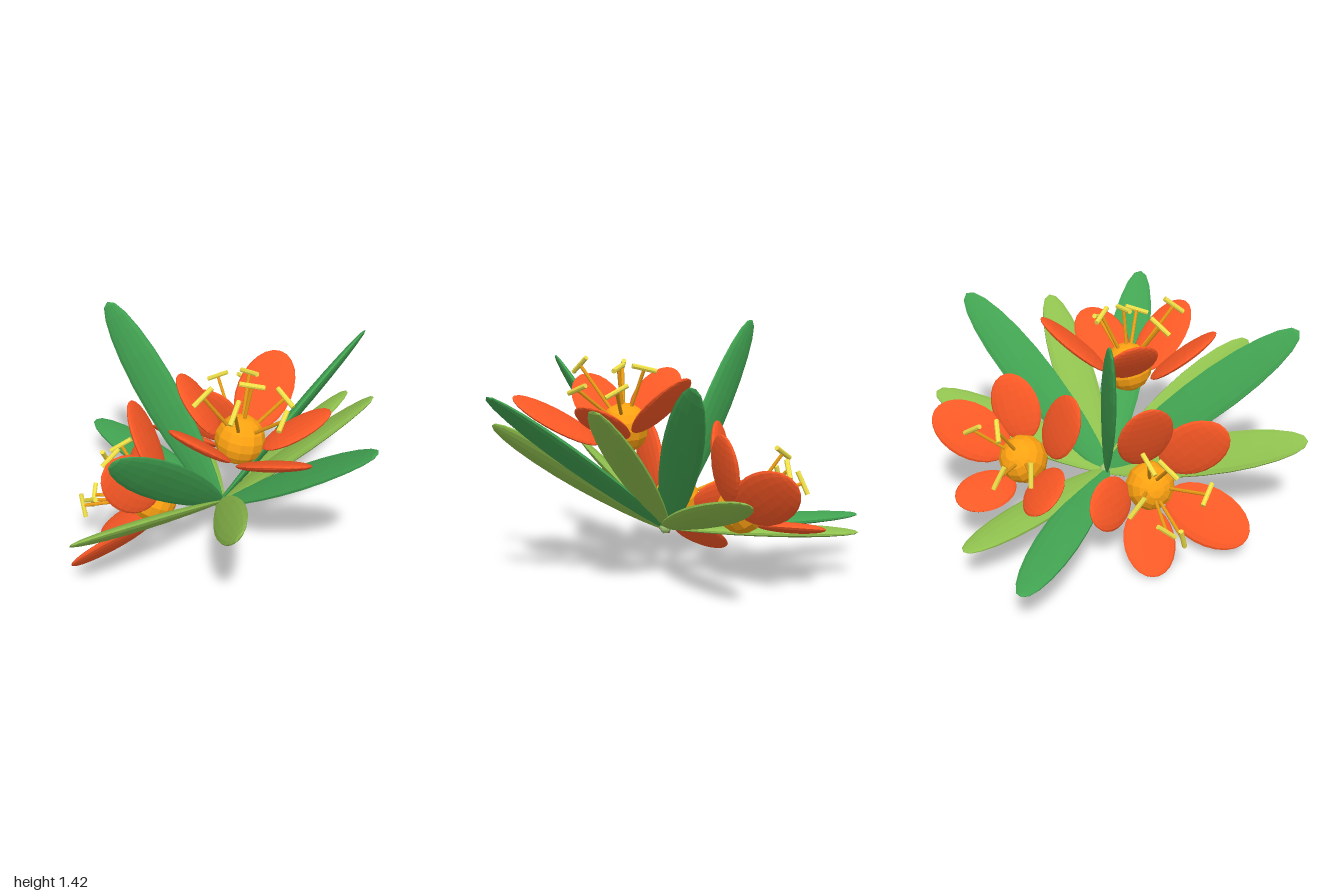
import * as THREE from 'three';

const V = (a) => new THREE.Vector3(...a);
const UP = new THREE.Vector3(0, 1, 0);
const HUB = new THREE.Vector3(0.03, 0.285, -0.04);
const mat = (color) => new THREE.MeshStandardMaterial({ color, flatShading: true });
const MAT = {
  dark: mat(0x42a452), light: mat(0x8fc04e), petal: mat(0xff5a26), heart: mat(0xffa312),
  filament: mat(0xe89a14), anther: mat(0xf0e048), stem: mat(0xa4c878),
};

function add(parent, name, geometry, material) {
  const m = new THREE.Mesh(geometry, material);
  m.name = name;
  parent.add(m);
  return m;
}

// Points local y along dir, with local z as close to facing as possible
function orient(mesh, pos, dir, facing) {
  const y = dir.clone().normalize();
  const z = facing.clone().addScaledVector(y, -facing.dot(y)).normalize();
  const x = new THREE.Vector3().crossVectors(y, z);
  mesh.quaternion.setFromRotationMatrix(new THREE.Matrix4().makeBasis(x, y, z));
  mesh.position.copy(pos);
}

// Straight round rod between two points
function rod(parent, name, a, b, r, material) {
  const d = b.clone().sub(a);
  const m = add(parent, name, new THREE.CylinderGeometry(r, r, d.length(), 8), material);
  m.position.copy(a).addScaledVector(d, 0.5);
  m.quaternion.setFromUnitVectors(UP, d.normalize());
}

// Leaf: a flattened spindle, widest beyond the middle, rolled about its own length
function leaf(parent, tip, roll, material) {
  const d = V(tip).sub(HUB);
  const start = HUB.clone().addScaledVector(d, -0.03);
  const len = d.length() * 1.03;
  const profile = [];
  for (let i = 0; i <= 12; i++) {
    const t = (1 - Math.cos((Math.PI * i) / 12)) / 2;
    const w = Math.max(0, Math.sin(Math.PI * t ** 1.25)) ** 0.45;
    profile.push(new THREE.Vector2(w, t));
  }
  const g = new THREE.LatheGeometry(profile, 14);
  g.scale(0.072 + 0.042 * len, len, 0.03);
  const m = add(parent, 'leaf', g, material);
  orient(m, start, d, UP);
  m.rotateY(roll);
}

// Leaf tip, roll, tone
const LEAVES = [
  [[-0.55, 0.27, -0.96], 0, 'light'],
  [[-0.99, 0.27, -0.73], 0, 'dark'],
  [[-0.66, 1.43, -0.18], -1.4, 'dark'],
  [[0.6, 0.62, -0.94], -0.45, 'light'],
  [[0.72, 1.18, -0.71], -0.83, 'dark'],
  [[0.86, 1.05, -0.19], -0.12, 'light'],
  [[0.98, 1.09, 0.42], 0.28, 'dark'],
  [[0.4, 0.83, 0.94], 0.89, 'light'],
  [[-0.23, 1.19, 0.99], 0.95, 'dark'],
  [[-0.48, 0.63, 0.99], 0.72, 'light'],
];

// Heart, facing direction, petal tips and stamen ends of each flower
const FLOWERS = [
  {
    center: [0.19, 0.86, 0.13], axis: [0.15, 0.97, -0.18],
    petals: [[0.3, 1.17, -0.35], [0.66, 1.03, -0.01], [0.62, 1.04, 0.57],
      [-0.03, 1.12, 0.58], [-0.18, 1.17, 0.06]],
    stamens: [[0.2, 1.2, -0.02], [0.41, 1.09, 0.01], [0.25, 1.2, 0.12],
      [0.02, 1.18, 0.27], [0.23, 1.2, 0.41], [0.45, 1.09, 0.25]],
  },
  {
    center: [-0.32, 0.37, 0.13], axis: [-0.93, 0.37, 0],
    petals: [[-0.47, 0.95, 0.06], [-0.47, 0.78, 0.5], [-0.66, 0.16, 0.6],
      [-0.68, 0.01, 0.05], [-0.58, 0.4, -0.27]],
    stamens: [[-0.67, 0.48, -0.04], [-0.61, 0.46, 0.37], [-0.53, 0.65, 0.06],
      [-0.56, 0.62, 0.16], [-0.73, 0.28, 0.2], [-0.69, 0.31, 0.12]],
  },
  {
    center: [0, 0.45, -0.53], axis: [-0.5, 0.68, -0.5],
    petals: [[-0.22, 0.34, -0.93], [0.25, 0.69, -0.99], [0.24, 0.88, -0.57],
      [-0.2, 0.88, -0.25], [-0.52, 0.45, -0.48]],
    stamens: [[-0.33, 0.56, -0.72], [-0.16, 0.75, -0.69], [-0.36, 0.57, -0.55],
      [-0.01, 0.69, -0.81]],
  },
];

function flower({ center, axis, petals, stamens }) {
  const group = new THREE.Group();
  group.name = 'flower';
  const c = V(center), up = V(axis).normalize();

  const heart = add(group, 'flowerHeart', new THREE.SphereGeometry(0.14, 12, 9), MAT.heart);
  orient(heart, c, up, new THREE.Vector3(0.3, 0.2, 1));

  // Flattened oval petals around the heart, tipped up along the axis
  for (const end of petals) {
    const tip = V(end), d = tip.clone().sub(c);
    const len = d.length() - 0.09;
    d.normalize().addScaledVector(up, 0.25).normalize();
    const g = new THREE.SphereGeometry(0.5, 16, 12);
    g.scale(0.19 + 0.26 * len, len, 0.06);
    orient(add(group, 'petal', g, MAT.petal), tip.addScaledVector(d, -len / 2), d, up);
  }

  // Thin filaments, each with a small crossbar turned a different way
  stamens.forEach((end, i) => {
    const e = V(end), d = e.clone().sub(c).normalize();
    const half = new THREE.Vector3(0.8, 0.1, 0.6).cross(d).setLength(0.07).applyAxisAngle(d, 1.5 + i * 0.5);
    rod(group, 'filament', c, e, 0.01, MAT.filament);
    rod(group, 'anther', e.clone().sub(half), e.clone().add(half), 0.014, MAT.anther);
  });
  return group;
}

export function createModel() {
  const model = new THREE.Group();
  model.name = 'floweringPlant';

  const foliage = new THREE.Group();
  foliage.name = 'foliage';
  model.add(foliage);
  for (const [tip, roll, tone] of LEAVES) leaf(foliage, tip, roll, MAT[tone]);

  // Small knot where the leaves meet
  add(foliage, 'hub', new THREE.SphereGeometry(0.035, 10, 8), MAT.stem).position.copy(HUB);

  for (const f of FLOWERS) model.add(flower(f));
  return model;
}
